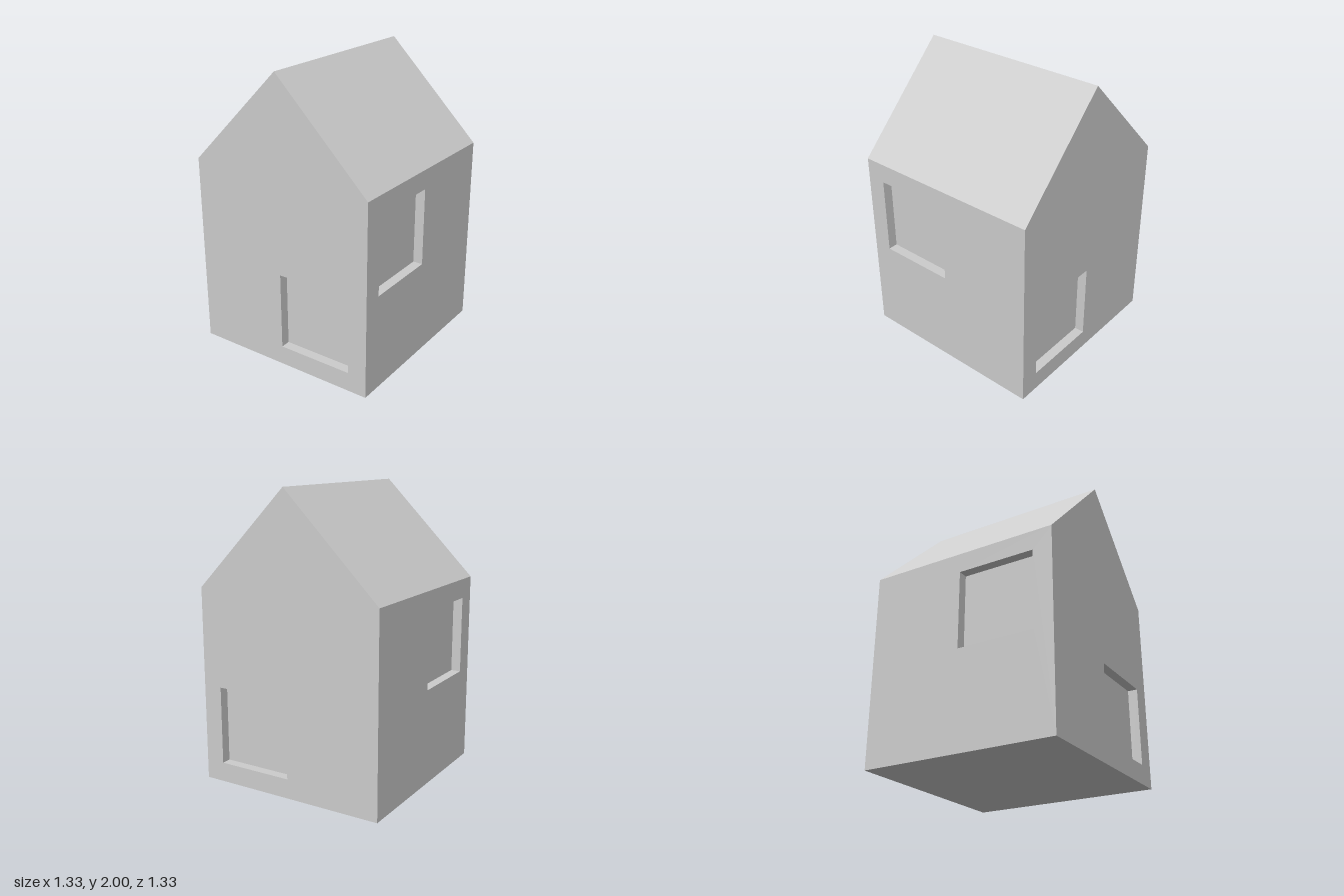
import * as THREE from 'three';

const HALF = 2 / 3;      // half the width and depth
const EAVES = 4 / 3;     // wall height
const RIDGE = 2;         // roof peak
const WINDOW = 8 / 15;   // side of the square windows
const DEPTH = 1 / 15;    // depth of the window recesses

const plaster = new THREE.MeshStandardMaterial({ color: 0xcccccc });
plaster.name = 'light grey plaster';

function plane(name, w, h, position, rotation) {
  const mesh = new THREE.Mesh(new THREE.PlaneGeometry(w, h), plaster);
  mesh.name = name;
  mesh.position.set(...position);
  mesh.rotation.set(...rotation);
  return mesh;
}

// Sunk square window: pane, sill, lintel and two jambs
function windowRecess(x, y) {
  const g = new THREE.Group();
  g.name = 'windowRecess';
  g.position.set(x + WINDOW / 2, y + WINDOW / 2, 0);
  const s = WINDOW / 2, z = -DEPTH / 2, q = Math.PI / 2;
  g.add(
    plane('pane', WINDOW, WINDOW, [0, 0, -DEPTH], [0, 0, 0]),
    plane('sill', WINDOW, DEPTH, [0, -s, z], [-q, 0, 0]),
    plane('lintel', WINDOW, DEPTH, [0, s, z], [q, 0, 0]),
    plane('leftJamb', DEPTH, WINDOW, [-s, 0, z], [0, q, 0]),
    plane('rightJamb', DEPTH, WINDOW, [s, 0, z], [0, -q, 0])
  );
  return g;
}

// Wall facing +z before turning; gabled walls rise to the ridge
function wall(name, angle, gabled, winX, winY) {
  const shape = new THREE.Shape();
  shape.moveTo(-HALF, 0).lineTo(HALF, 0).lineTo(HALF, EAVES);
  if (gabled) shape.lineTo(0, RIDGE);
  shape.lineTo(-HALF, EAVES).closePath();
  const hole = new THREE.Path();
  hole.moveTo(winX, winY).lineTo(winX, winY + WINDOW);
  hole.lineTo(winX + WINDOW, winY + WINDOW).lineTo(winX + WINDOW, winY).closePath();
  shape.holes.push(hole);

  const face = new THREE.Mesh(new THREE.ShapeGeometry(shape), plaster);
  face.name = 'wallFace';
  const panel = new THREE.Group();
  panel.position.z = HALF;
  panel.add(face, windowRecess(winX, winY));
  const g = new THREE.Group();
  g.name = name;
  g.rotation.y = angle;
  g.add(panel);
  return g;
}

export function createModel() {
  const house = new THREE.Group();
  house.name = 'house';

  // Upper windows on the long walls, lower windows on the gables
  const high = HALF, low = 2 / 15;
  house.add(
    wall('frontWall', 0, false, -WINDOW, high),
    wall('backWall', Math.PI, false, 0, high),
    wall('rightGableWall', Math.PI / 2, true, -WINDOW, low),
    wall('leftGableWall', -Math.PI / 2, true, 0, low)
  );

  // Two roof slopes at 45 degrees
  for (const [name, angle] of [['frontRoof', 0], ['backRoof', Math.PI]]) {
    const slope = new THREE.Group();
    slope.name = name;
    slope.rotation.y = angle;
    slope.add(plane('roofSlope', 2 * HALF, HALF * Math.SQRT2,
      [0, (EAVES + RIDGE) / 2, HALF / 2], [-Math.PI / 4, 0, 0]));
    house.add(slope);
  }

  // Underside
  house.add(plane('floor', 2 * HALF, 2 * HALF, [0, 0, 0], [Math.PI / 2, 0, 0]));
  return house;
}
